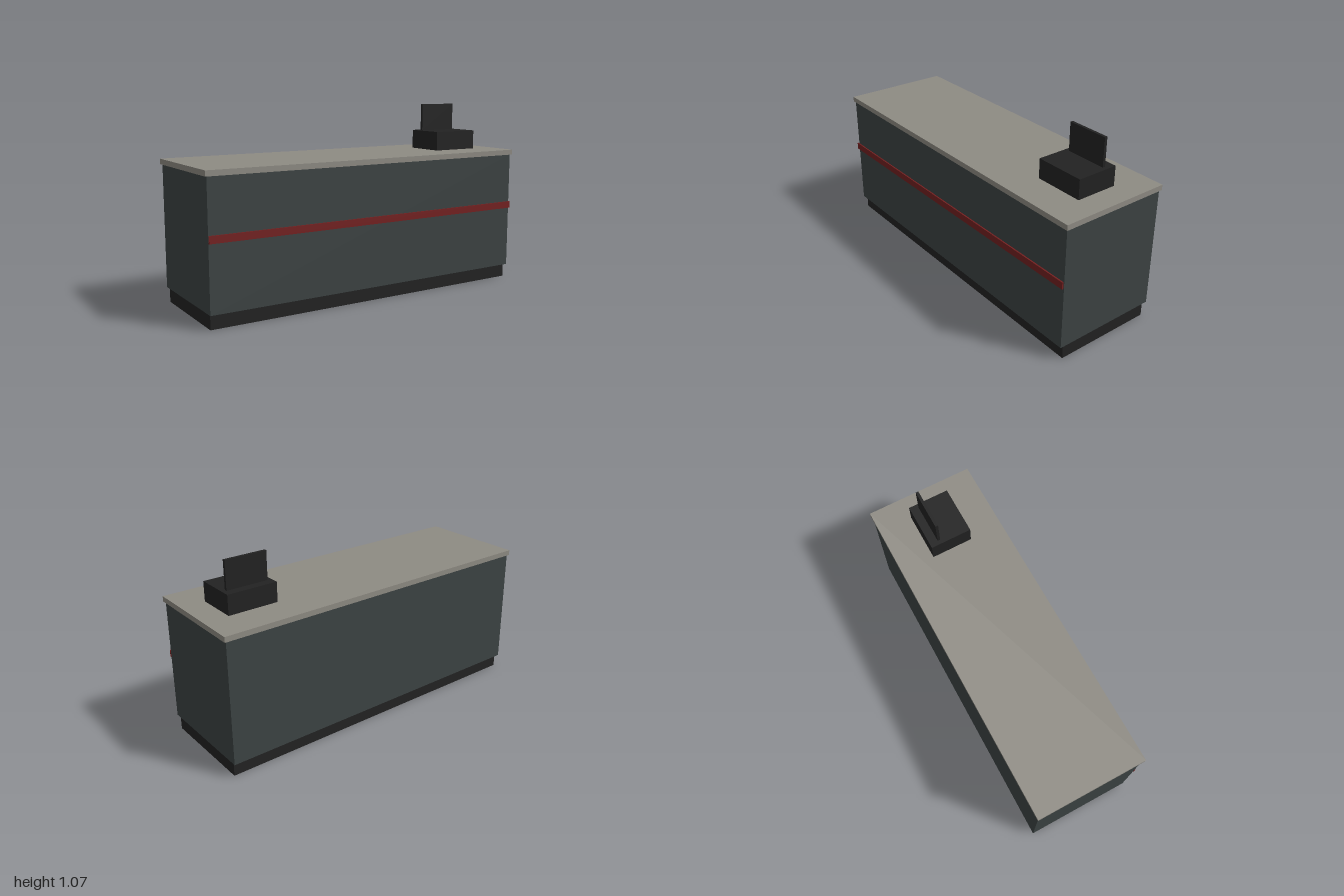
import * as THREE from 'three';

export function createModel() {
  const group = new THREE.Group();
  const material = (name, color) => {
    const m = new THREE.MeshStandardMaterial({ color });
    m.name = name;
    return m;
  };
  const slate = material('slate panel', 0x3c4343);
  const stone = material('stone top', 0x8e8b83);
  const black = material('black', 0x222222);
  const red = material('red trim', 0x742020);

  // Box given by its size, its centre in x and z, and its underside in y
  const box = (name, mat, [w, h, d], [x, bottom, z]) => {
    const mesh = new THREE.Mesh(new THREE.BoxGeometry(w, h, d), mat);
    mesh.name = name;
    mesh.position.set(x, bottom + h / 2, z);
    group.add(mesh);
  };

  // Counter: recessed plinth, cabinet and overhanging top
  box('plinth', black, [1.965, 0.08, 0.578], [0, 0, 0]);
  box('cabinet', slate, [1.98, 0.69, 0.624], [0, 0.08, -0.001]);
  box('countertop', stone, [2, 0.03, 0.642], [0, 0.77, -0.001]);

  // Trim strip, standing just clear of the cabinet front
  box('trimStrip', red, [1.98, 0.04, 0.008], [0, 0.441, 0.32]);

  // Cash register with upright screen
  box('registerBase', black, [0.289, 0.112, 0.241], [0.716, 0.8, -0.001]);
  box('registerScreen', black, [0.241, 0.161, 0.016], [0.716, 0.912, -0.065]);

  return group;
}
